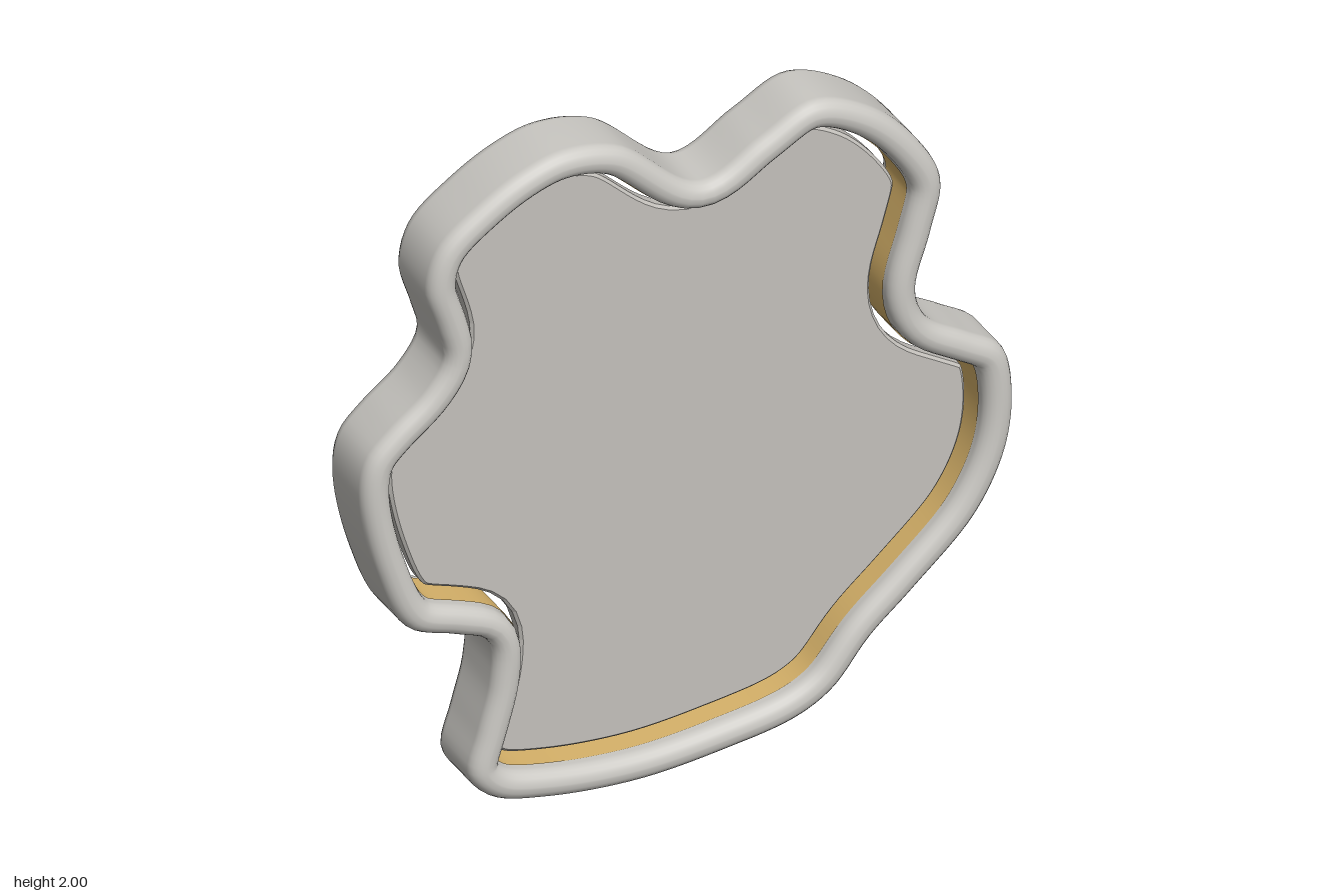
import * as THREE from 'three';

// Outer outline of the frame in its own plane, clockwise from the upper left lobe
const OUTLINE = [
  [-.36, 2], [-.2, 1.97], [.045, 1.79], [.22, 1.875], [.375, 1.945], [.54, 1.88], [.68, 1.74],
  [.75, 1.6], [.72, 1.45], [.675, 1.28], [.71, 1.18], [.83, 1.1], [.93, 1.03], [.96, .9],
  [.94, .72], [.85, .54], [.665, .36], [.54, .25], [.43, .12], [.32, .06], [.1, .02],
  [-.15, 0], [-.42, .025], [-.575, .07], [-.64, .15], [-.61, .28], [-.575, .42], [-.58, .55],
  [-.68, .6], [-.82, .66], [-.91, .85], [-.96, 1.1], [-.94, 1.21], [-.875, 1.28], [-.765, 1.37],
  [-.71, 1.46], [-.73, 1.55], [-.765, 1.68], [-.73, 1.8], [-.61, 1.9], [-.48, 1.97],
];

// Move a clockwise loop inward in small steps, relaxing it so that tight corners do not fold
function inset(loop, distance) {
  const n = loop.length;
  const steps = Math.ceil(distance / 0.01);
  const relax = 0.12;
  for (let s = 0; s < steps; s++) {
    const moved = loop.map((p, j) => {
      const t = loop[(j + 1) % n].clone().sub(loop[(j + n - 1) % n]).normalize();
      return new THREE.Vector2(p.x + t.y * distance / steps, p.y - t.x * distance / steps);
    });
    loop = moved.map((p, j) => {
      const mid = moved[(j + 1) % n].clone().add(moved[(j + n - 1) % n]).multiplyScalar(0.5);
      return p.clone().lerp(mid, relax);
    });
  }
  return loop;
}

// Sweep a profile of [inset, depth] points around the outline
function sweep(outline, profile, closed) {
  const n = outline.length, m = profile.length;
  const positions = [], indices = [];
  for (const [d, w] of profile) {
    for (const p of inset(outline, d)) positions.push(p.x, p.y, w);
  }
  for (let i = 0; i < (closed ? m : m - 1); i++) {
    const k = (i + 1) % m;
    for (let j = 0; j < n; j++) {
      const l = (j + 1) % n;
      indices.push(i * n + j, k * n + j, i * n + l, k * n + j, k * n + l, i * n + l);
    }
  }
  const g = new THREE.BufferGeometry();
  g.setAttribute('position', new THREE.Float32BufferAttribute(positions, 3));
  g.setIndex(indices);
  g.computeVertexNormals();
  return g;
}

// Rounded rectangle profile: outer side, front, inner side, back
function roundedProfile(width, half, r) {
  const corners = [[r, half - r], [width - r, half - r], [width - r, r - half], [r, r - half]];
  const points = [];
  corners.forEach(([cx, cy], c) => {
    for (let i = 0; i <= 5; i++) {
      const a = Math.PI - (c + i / 5) * Math.PI / 2;
      points.push([cx + r * Math.cos(a), cy + r * Math.sin(a)]);
    }
  });
  return points;
}

export function createModel() {
  const frameGrey = new THREE.MeshStandardMaterial({ color: 0xcac8c3 });
  frameGrey.name = 'frameGrey';
  const panelGrey = new THREE.MeshStandardMaterial({ color: 0xc3c0bb });
  panelGrey.name = 'panelGrey';
  const stripGold = new THREE.MeshStandardMaterial({ color: 0xd8b36a, side: THREE.DoubleSide });
  stripGold.name = 'stripGold';

  const curve = new THREE.CatmullRomCurve3(
    OUTLINE.map(([x, y]) => new THREE.Vector3(x, y, 0)), true, 'centripetal');
  const outline = curve.getSpacedPoints(260).slice(0, -1).map(p => new THREE.Vector2(p.x, p.y));

  const model = new THREE.Group();
  model.name = 'wavyMirror';
  const add = (name, geometry, material) => {
    const mesh = new THREE.Mesh(geometry, material);
    mesh.name = name;
    model.add(mesh);
    return mesh;
  };

  // Soft rounded frame
  add('frame', sweep(outline, roundedProfile(0.085, 0.11, 0.04), true), frameGrey);

  // Light strip lining the inside of the frame
  add('lightStrip', sweep(outline, [[0.088, 0.06], [0.088, -0.06]], false), stripGold);

  // Mirror panel with a narrow bevel, set just inside the frame
  const bevel = 0.008;
  const panel = add('mirrorPanel', new THREE.ExtrudeGeometry(new THREE.Shape(inset(outline, 0.11)), {
    depth: 0.05 - 2 * bevel, bevelEnabled: true, bevelThickness: bevel,
    bevelSize: bevel, bevelOffset: -bevel, bevelSegments: 1,
  }), panelGrey);
  panel.position.z = -0.02 + bevel;

  // The whole piece stands turned towards its left
  model.rotation.y = 0.456;
  return model;
}
